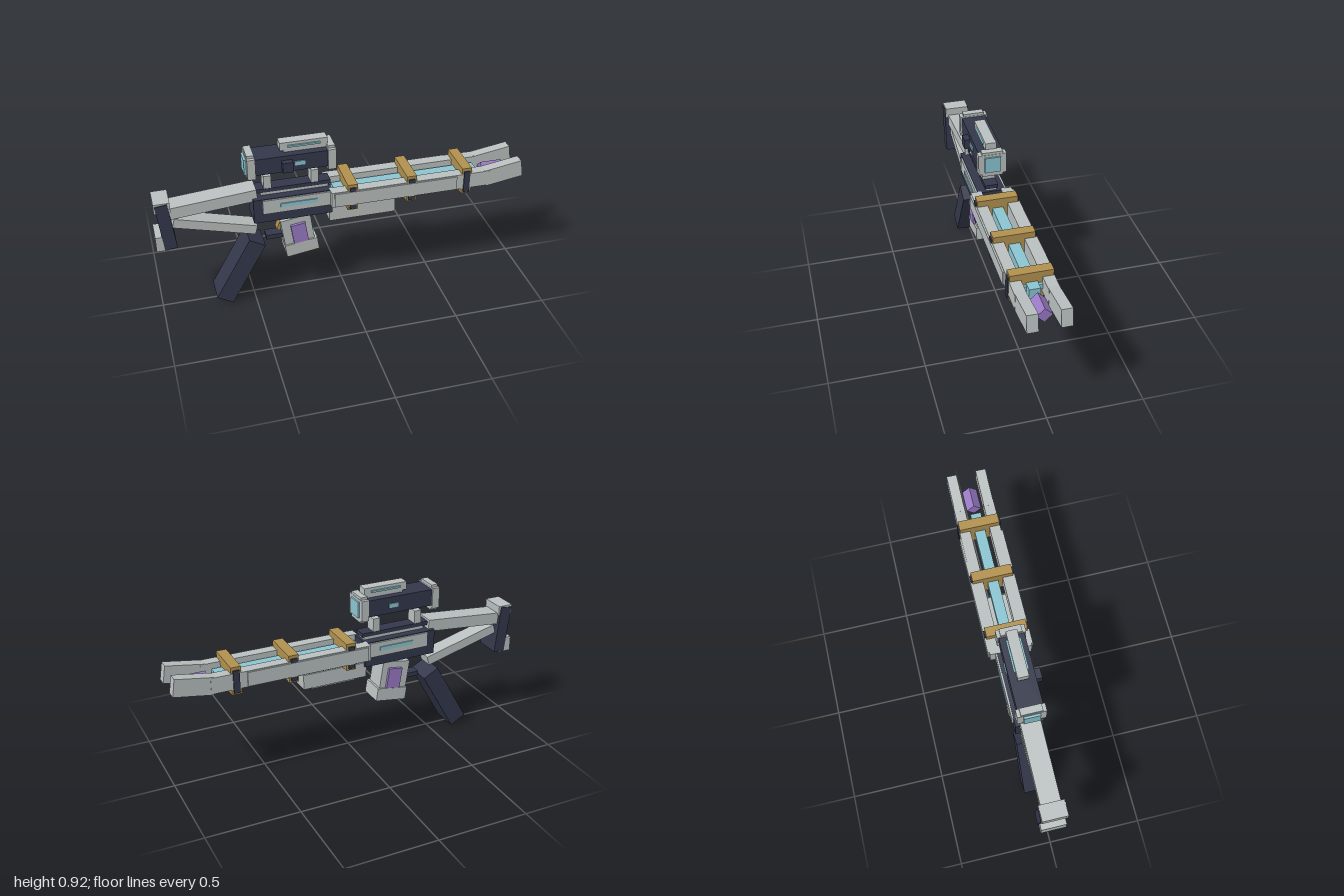
import * as THREE from 'three';

export function createModel() {
  const group = new THREE.Group();
  const mat = (name, color) => {
    const m = new THREE.MeshStandardMaterial({ color });
    m.name = name;
    return m;
  };
  const grey = mat('light grey', 0xb8bfbe);
  const dark = mat('dark navy', 0x33374a);
  const gold = mat('brass', 0xb0904f);
  const cyan = mat('glow cyan', 0x8ac4d0);
  const purple = mat('crystal purple', 0x9878c4);

  const add = (name, material, w, h, d, x, y, z = 0, rot = 0) => {
    const mesh = new THREE.Mesh(new THREE.BoxGeometry(w, h, d), material);
    mesh.name = name;
    mesh.position.set(x, y, z);
    mesh.rotation.z = rot;
    group.add(mesh);
    return mesh;
  };
  // box given by its extents, centred on z = 0 unless z0 and z1 are given
  const span = (name, m, x0, x1, y0, y1, z0, z1) => {
    if (z1 === undefined) { z1 = z0; z0 = -z0; }
    return add(name, m, x1 - x0, y1 - y0, z1 - z0, (x0 + x1) / 2, (y0 + y1) / 2, (z0 + z1) / 2);
  };
  // the same box on both sides
  const pair = (name, m, x0, x1, y0, y1, z0, z1) => {
    span(name + 'Left', m, x0, x1, y0, y1, z0, z1);
    span(name + 'Right', m, x0, x1, y0, y1, -z1, -z0);
  };
  // slanted bar between two points on its centre line
  const bar = (name, m, ax, ay, bx, by, thick, depth, z = 0) =>
    add(name, m, Math.hypot(bx - ax, by - ay), thick, depth,
      (ax + bx) / 2, (ay + by) / 2, z, Math.atan2(by - ay, bx - ax));

  // receiver with side panels and top rail
  span('receiver', dark, -0.487, -0.067, 0.498, 0.637, 0.075);
  pair('receiverPanel', grey, -0.44, -0.075, 0.552, 0.633, 0.07, 0.084);
  pair('receiverLight', cyan, -0.347, -0.15, 0.584, 0.606, 0.08, 0.089);
  span('topRail', dark, -0.465, -0.067, 0.655, 0.677, 0.036);
  span('topRailBase', grey, -0.44, -0.08, 0.63, 0.656, 0.03);

  // scope
  span('scopeBody', dark, -0.48, -0.07, 0.78, 0.872, 0.066);
  for (const x of [-0.487, -0.066]) {
    span('scopeCapWide', grey, x - 0.021, x + 0.021, 0.764, 0.879, 0.075);
    span('scopeCapTall', grey, x - 0.019, x + 0.019, 0.75, 0.893, 0.056);
  }
  span('scopeLens', cyan, -0.52, -0.036, 0.777, 0.865, 0.043);
  span('scopeTopBlock', grey, -0.33, -0.08, 0.884, 0.928, 0.029);
  span('scopeTopBase', grey, -0.31, -0.08, 0.868, 0.89, 0.025);
  span('scopeTopLight', cyan, -0.29, -0.12, 0.902, 0.912, 0.038);
  span('scopeKnob', dark, -0.33, -0.275, 0.792, 0.848, 0.06, 0.098);
  pair('scopeSideLight', cyan, -0.262, -0.208, 0.813, 0.836, 0.06, 0.072);
  for (const x of [-0.402, -0.152]) span('scopeMount', grey, x - 0.02, x + 0.02, 0.675, 0.75, 0.035);

  // barrel core, crystal and twin rails with upturned tips
  span('barrelCore', cyan, -0.05, 0.75, 0.562, 0.618, 0.029);
  add('crystal', purple, 0.12, 0.057, 0.057, 0.85, 0.59).rotation.x = Math.PI / 4;
  pair('rail', grey, -0.08, 0.8, 0.55, 0.638, 0.053, 0.112);
  pair('railPlate', grey, -0.065, 0.61, 0.556, 0.634, 0.1, 0.121);
  for (const s of [1, -1]) bar('railTip', grey, 0.78, 0.591, 0.988, 0.624, 0.096, 0.056, s * 0.082);

  // brass bands with dark side posts
  for (const x of [0.034, 0.358, 0.668]) {
    span('band', gold, x - 0.027, x + 0.027, 0.52, 0.672, 0.11);
    pair('bandPost', dark, x - 0.017, x + 0.017, 0.53, 0.655, 0.1, 0.118);
  }
  span('barrelCollar', cyan, 0.66, 0.7, 0.577, 0.606, 0.052).scale.x = 1.5;

  // fore block
  span('foreBlock', grey, -0.08, 0.285, 0.435, 0.518, 0.06);
  span('foreBlockPlate', grey, -0.02, 0.23, 0.42, 0.44, 0.043);

  // magazine with purple windows and a wider foot
  const tilt = 0.145;
  add('magazine', grey, 0.163, 0.2, 0.117, -0.252, 0.385, 0, tilt);
  add('magazineFoot', grey, 0.18, 0.073, 0.136, -0.234, 0.296, 0, tilt);
  add('magazineWindow', purple, 0.08, 0.115, 0.148, -0.247, 0.393, 0, tilt);

  // grip and trigger
  bar('grip', dark, -0.476, 0.373, -0.67, 0.03, 0.097, 0.15);
  span('triggerGuard', dark, -0.42, -0.325, 0.355, 0.38, 0.03);
  add('trigger', gold, 0.018, 0.07, 0.05, -0.342, 0.435, 0, -0.3);

  // open stock
  bar('stockUpperBar', grey, -0.93, 0.614, -0.462, 0.655, 0.066, 0.106);
  bar('stockLowerBar', grey, -0.9, 0.552, -0.473, 0.436, 0.052, 0.09);
  bar('buttPlate', dark, -0.954, 0.683, -0.924, 0.416, 0.066, 0.143);
  span('buttCap', grey, -0.992, -0.908, 0.637, 0.692, 0.067);
  span('buttPad', grey, -1.0, -0.93, 0.408, 0.493, 0.067);
  return group;
}
